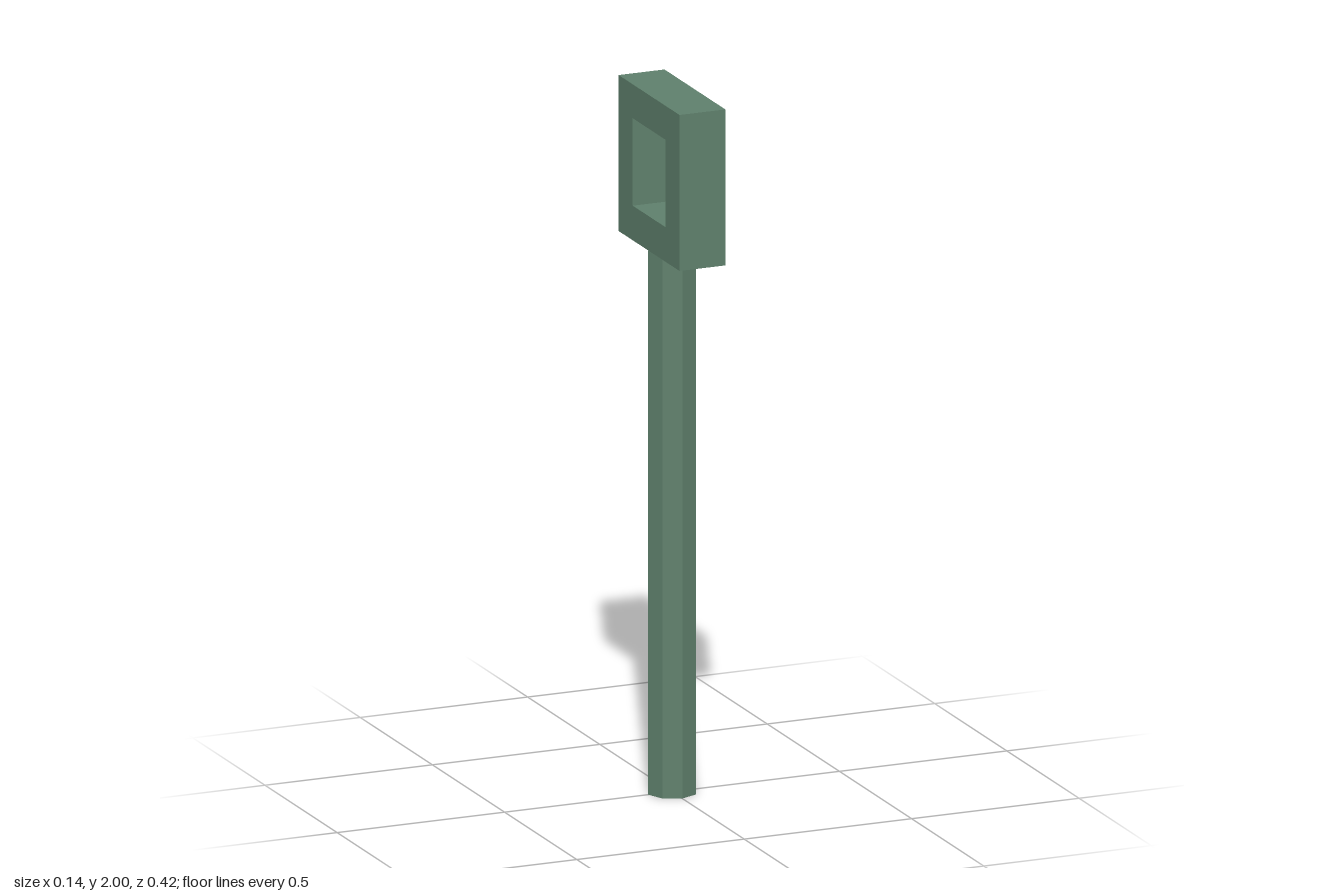
import * as THREE from 'three';

// Rectangle outline centred on x = 0
function rect(path, halfWidth, bottom, top) {
  path.moveTo(-halfWidth, bottom);
  path.lineTo(halfWidth, bottom);
  path.lineTo(halfWidth, top);
  path.lineTo(-halfWidth, top);
  path.closePath();
  return path;
}

export function createModel() {
  const group = new THREE.Group();
  const material = new THREE.MeshStandardMaterial({ color: 0x5f806c, flatShading: true });

  // Octagonal shaft
  const shaftTop = 1.555;
  const shaft = new THREE.Mesh(new THREE.CylinderGeometry(0.071, 0.071, shaftTop, 8), material);
  shaft.name = 'shaft';
  shaft.position.y = shaftTop / 2;
  group.add(shaft);

  // Square eye with a rectangular opening through x
  const thickness = 0.137;
  const outline = rect(new THREE.Shape(), 0.211, 1.554, 2);
  outline.holes.push(rect(new THREE.Path(), 0.113, 1.653, 1.903));
  const eyeGeometry = new THREE.ExtrudeGeometry(outline, { depth: thickness, bevelEnabled: false });
  eyeGeometry.translate(0, 0, -thickness / 2);
  eyeGeometry.rotateY(Math.PI / 2);
  const eye = new THREE.Mesh(eyeGeometry, material);
  eye.name = 'eye';
  group.add(eye);

  return group;
}
